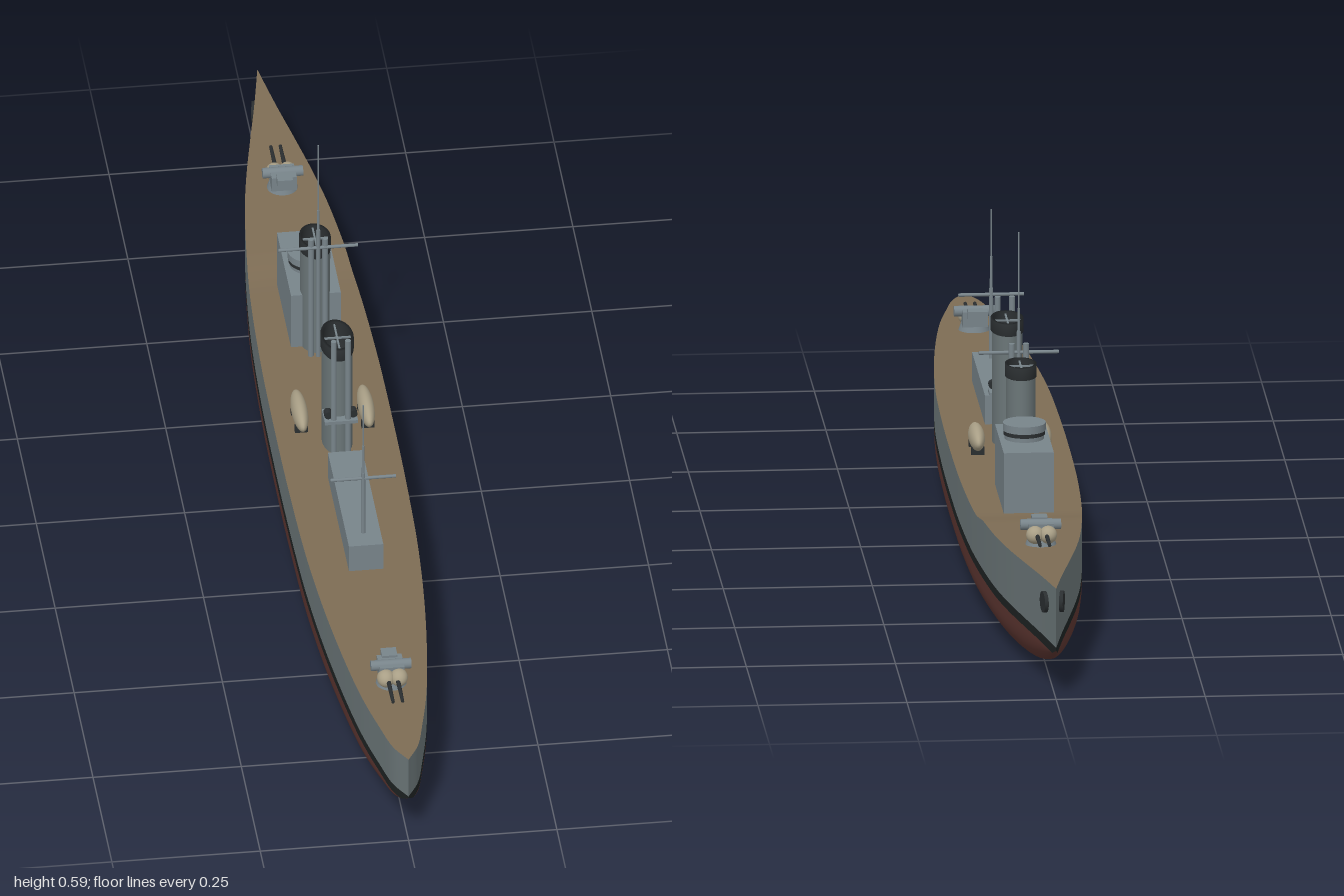
import * as THREE from 'three';

const mat = (color) => new THREE.MeshStandardMaterial({ color });
const M = {
  hull: mat(0x6b7678), stripe: mat(0x1d2222), red: mat(0x5c3530), deck: mat(0x7d6c54),
  grey: mat(0x78848a), dark: mat(0x2a2e30), tan: mat(0xa99f86),
};

function add(parent, name, geometry, material, x = 0, y = 0, z = 0) {
  const m = new THREE.Mesh(geometry, material);
  m.name = name;
  m.position.set(x, y, z);
  parent.add(m);
  return m;
}
const box = (w, h, d) => new THREE.BoxGeometry(w, h, d);
const cyl = (r1, r2, h, n = 24) => new THREE.CylinderGeometry(r1, r2, h, n);

// Skin stretched over rows of points, rows running from bow to stern
function loft(rows) {
  const n = rows[0].length, pos = [], idx = [];
  rows.forEach((row) => row.forEach((p) => pos.push(...p)));
  for (let i = 0; i < rows.length - 1; i++) {
    for (let j = 0; j < n - 1; j++) {
      const a = i * n + j, b = a + 1, c = a + n, d = c + 1;
      idx.push(a, c, b, b, c, d);
    }
  }
  const g = new THREE.BufferGeometry();
  g.setAttribute('position', new THREE.Float32BufferAttribute(pos, 3));
  g.setIndex(idx);
  g.computeVertexNormals();
  return g;
}

// Deck height: level aft, short slope, then a gently rising forecastle
function deckY(z) {
  const step = THREE.MathUtils.smoothstep(-z, 0.41, 0.5) * 0.009;
  return 0.164 + step + Math.max(0, -z - 0.45) * 0.034;
}

function buildHull(root) {
  const hull = new THREE.Group();
  hull.name = 'hull';
  root.add(hull);
  // Half breadth, keel height, z
  const stations = [
    [0, 0.084, -1], [0.018, 0.045, -0.9], [0.038, 0.017, -0.8], [0.057, 0.005, -0.7], [0.072, 0.002, -0.6],
    [0.09, 0, -0.4], [0.098, 0, -0.2], [0.1, 0, 0], [0.099, 0, 0.2], [0.094, 0.001, 0.4],
    [0.08, 0.008, 0.6], [0.056, 0.023, 0.8], [0.036, 0.042, 0.9], [0.021, 0.06, 0.96], [0, 0.086, 1],
  ].map((p) => new THREE.Vector3(...p));
  const pts = new THREE.CatmullRomCurve3(stations).getPoints(112)
    .map((p) => ({ w: Math.max(0, p.x), k: Math.max(0, p.y), z: p.z }));
  const low = (p) => Math.max(0.074, p.k), high = 0.089;

  // Topsides and waterline stripe, one strip per side
  for (const s of [1, -1]) {
    const side = s > 0 ? 'left' : 'right';
    const strip = (top, bottom) => loft(pts.map((p) => {
      const row = [[s * p.w, top(p), p.z], [s * p.w, bottom(p), p.z]];
      return s > 0 ? row : row.reverse();
    }));
    add(hull, side + 'Topside', strip((p) => deckY(p.z), () => high), M.hull);
    add(hull, side + 'Waterline', strip(() => high, low), M.stripe);
    // Hawse plate at the bow
    add(hull, side + 'HawsePlate', cyl(0.018, 0.018, 0.008), M.dark, s * 0.014, 0.152, -0.935)
      .rotation.set(0, s * 0.18, Math.PI / 2);
  }

  // Round-bilged bottom, sharper towards both ends
  add(hull, 'bottom', loft(pts.map((p) => {
    const row = [], e = 2 / (1.7 + 1.5 * p.w / 0.1), N = 24;
    for (let j = 0; j <= N; j++) {
      const t = Math.PI * j / N, c = Math.cos(t);
      const x = j === N / 2 ? 0 : Math.sign(c) * Math.abs(c) ** e * p.w;
      const drop = Math.max(0, Math.sin(t)) ** e;
      row.push([x, low(p) - (low(p) - p.k) * (j === N ? 0 : drop), p.z]);
    }
    return row;
  })), M.red);

  add(hull, 'deck', loft(pts.map((p) => [-1, 0, 1].map((s) => [s * p.w, deckY(p.z), p.z]))), M.deck);
}

// Twin gun mount with barrels along +z
function gunMount(root, name, z, turn) {
  const g = new THREE.Group();
  g.name = name;
  g.position.set(0, deckY(z), z);
  g.rotation.y = turn;
  root.add(g);
  add(g, 'pedestal', cyl(0.022, 0.026, 0.012), M.grey, 0, 0.006, 0);
  add(g, 'gunHouse', box(0.042, 0.026, 0.04), M.grey, 0, 0.024, -0.008);
  add(g, 'sightHood', cyl(0.009, 0.009, 0.068, 16), M.grey, 0, 0.033, -0.004).rotation.z = Math.PI / 2;
  add(g, 'breechBlock', box(0.026, 0.014, 0.024), M.grey, 0, 0.034, -0.03);
  for (const s of [1, -1]) {
    const bag = add(g, 'blastBag', new THREE.SphereGeometry(0.015, 20, 14), M.tan, s * 0.011, 0.02, 0.016);
    bag.scale.z = 1.15;
    add(g, 'barrel', cyl(0.0028, 0.004, 0.07, 12), M.dark, s * 0.008, 0.021, 0.054).rotation.x = Math.PI / 2;
  }
}

// Hollow oval funnel with a dark cap band and twin steam pipes behind it
function funnel(root, name, z, rx, rz) {
  const g = new THREE.Group();
  g.name = name;
  g.position.set(0, 0.164, z);
  root.add(g);
  const lathe = (p) => new THREE.LatheGeometry(p.map((q) => new THREE.Vector2(...q)), 32);
  const oval = (mesh) => mesh.scale.set(rx, 1, rz);
  oval(add(g, 'casing', lathe([[0.95, 0], [0.95, 0.195]]), M.hull));
  oval(add(g, 'capBand', lathe([[0.95, 0.192], [1.02, 0.192], [1.02, 0.213], [0.85, 0.213],
    [0.85, 0.15], [0, 0.15]]), M.dark));
  // Crossed grating inside the mouth
  add(g, 'grating', box(rx * 1.7, 0.003, 0.003), M.grey, 0, 0.208, 0);
  add(g, 'grating', box(0.003, 0.003, rz * 1.7), M.grey, 0, 0.208, 0);
  for (const s of [1, -1]) {
    add(g, 'steamPipe', cyl(0.005, 0.005, 0.236, 12), M.grey, s * 0.012, 0.118, rz + 0.004);
  }
  return g;
}

// Mast from stepped poles, each [radius, bottom, top], and one yard
function mast(root, name, z, poles, yardY, yardHalf) {
  const g = new THREE.Group();
  g.name = name;
  g.position.z = z;
  root.add(g);
  for (const [r, y0, y1] of poles) add(g, 'pole', cyl(r * 0.85, r, y1 - y0, 12), M.grey, 0, (y0 + y1) / 2, 0);
  add(g, 'yard', cyl(0.003, 0.003, yardHalf * 2, 10), M.grey, 0, yardY, 0).rotation.z = Math.PI / 2;
}

export function createModel() {
  const root = new THREE.Group();
  root.name = 'warship';
  buildHull(root);

  gunMount(root, 'foreGun', -0.67, Math.PI);
  gunMount(root, 'aftGun', 0.77, 0);

  // Bridge block with round conning tower
  add(root, 'bridge', box(0.084, 0.105, 0.187), M.grey, 0, 0.216, -0.318);
  add(root, 'conningTower', cyl(0.033, 0.033, 0.012, 32), M.grey, 0, 0.273, -0.315);
  add(root, 'visionSlit', cyl(0.035, 0.035, 0.008, 32), M.dark, 0, 0.28, -0.315);
  add(root, 'towerRoof', cyl(0.036, 0.036, 0.013, 32), M.grey, 0, 0.2895, -0.315);

  funnel(root, 'foreFunnel', -0.238, 0.026, 0.037);
  const aft = funnel(root, 'aftFunnel', 0.055, 0.027, 0.046);

  // Searchlight ledge on the aft funnel
  add(aft, 'ledge', box(0.056, 0.006, 0.04), M.grey, 0, 0.075, 0.038);
  for (const s of [1, -1]) {
    add(aft, 'searchlight', cyl(0.007, 0.007, 0.014, 16), M.dark, s * 0.021, 0.086, 0.044).rotation.x = Math.PI / 2;
  }

  // Aft deckhouse
  add(root, 'deckhouse', box(0.058, 0.052, 0.278), M.grey, 0, 0.188, 0.3);

  mast(root, 'foreMast', -0.194, [[0.004, 0.16, 0.42], [0.0025, 0.42, 0.46], [0.0015, 0.46, 0.592]], 0.384, 0.067);
  mast(root, 'aftMast', 0.4, [[0.004, 0.21, 0.335], [0.0025, 0.335, 0.39], [0.0015, 0.39, 0.472]], 0.324, 0.055);

  // Covered boats on chocks
  for (const s of [1, -1]) {
    const boat = new THREE.Group();
    boat.name = s > 0 ? 'leftBoat' : 'rightBoat';
    boat.position.set(s * 0.056, 0, -0.004);
    root.add(boat);
    add(boat, 'boatHull', new THREE.SphereGeometry(1, 28, 18), M.tan, 0, 0.188, 0).scale.set(0.0135, 0.02, 0.056);
    for (const z of [-0.026, 0.026]) add(boat, 'chock', box(0.022, 0.014, 0.008), M.dark, 0, 0.17, z);
  }
  return root;
}
